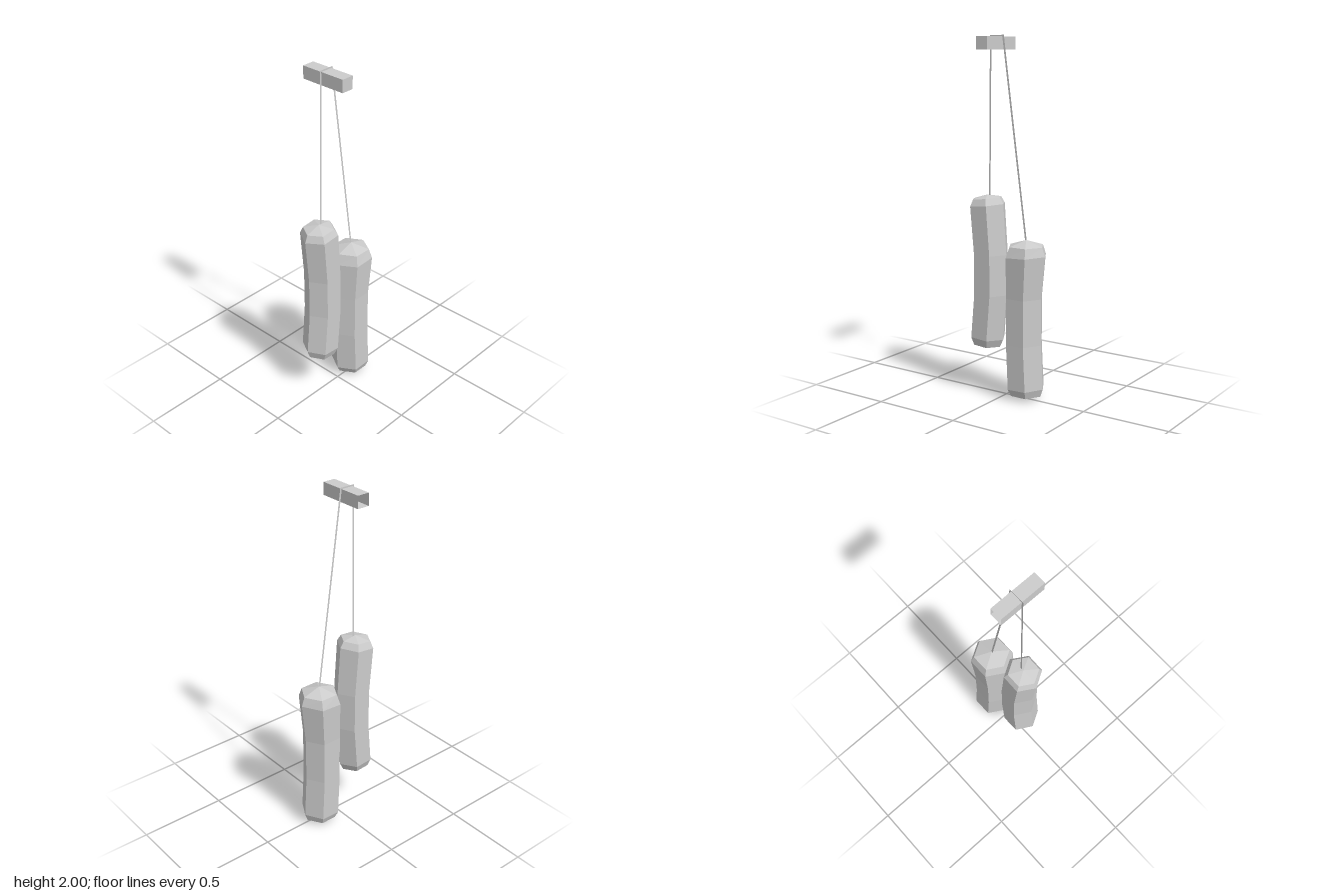
import * as THREE from 'three';

const grey = () => new THREE.MeshStandardMaterial({ color: 0xcccccc, flatShading: true, side: THREE.DoubleSide });

function part(name, geometry) {
  const mesh = new THREE.Mesh(geometry, grey());
  mesh.name = name;
  return mesh;
}

// Six-sided sausage: rings of [y, centre x, radius, tilt], listed bottom to top,
// closed by a shallow point at each end.
function sausage(rings, bottom, top, z) {
  const sides = 6, pos = [], index = [];
  for (const [y, cx, r, tilt] of rings) {
    for (let i = 0; i < sides; i++) {
      const a = (i / sides) * Math.PI * 2;
      pos.push(cx + r * Math.cos(a), y + tilt * Math.cos(a), z + r * Math.sin(a));
    }
  }
  const low = pos.length / 3, high = low + 1, last = (rings.length - 1) * sides;
  pos.push(bottom[0], bottom[1], z, top[0], top[1], z);
  for (let i = 0; i < sides; i++) {
    const j = (i + 1) % sides;
    for (let k = 0; k < last; k += sides) {
      index.push(k + i, k + sides + i, k + j, k + j, k + sides + i, k + sides + j);
    }
    index.push(low, i, j, high, last + j, last + i);
  }
  const g = new THREE.BufferGeometry();
  g.setAttribute('position', new THREE.Float32BufferAttribute(pos, 3));
  g.setIndex(index);
  const flat = g.toNonIndexed();
  flat.computeVertexNormals();
  return flat;
}

// Flat ribbon in the xy plane
function ribbon(points, z) {
  const g = new THREE.ShapeGeometry(new THREE.Shape(points.map(([x, y]) => new THREE.Vector2(x, y))));
  return g.translate(0, 0, z);
}

export function createModel() {
  const model = new THREE.Group();
  const z = -0.01;

  // Hanging bar: square tube, closed in front and open at the back
  const barGeometry = new THREE.BoxGeometry(0.072, 0.07, 0.268);
  const faces = Array.from(barGeometry.index.array).slice(0, 30);
  barGeometry.setIndex(faces);
  barGeometry.clearGroups();
  const bar = part('hangingBar', barGeometry);
  bar.position.set(-0.071, 1.957, -0.001);
  model.add(bar);

  // String looped over the bar
  model.add(part('string', ribbon([
    [-0.126, 1.11], [-0.116, 1.11], [-0.107, 1.991], [-0.036, 1.991],
    [0.116, 0.88], [0.127, 0.88], [-0.026, 2], [-0.117, 2],
  ], z)));

  // Upper sausage, bowed towards the other one
  model.add(part('upperSausage', sausage([
    [0.272, -0.138, 0.084, -0.006],
    [0.318, -0.136, 0.104, -0.008],
    [0.57, -0.114, 0.104, 0],
    [0.80, -0.114, 0.104, 0],
    [1.073, -0.136, 0.106, 0.011],
    [1.111, -0.139, 0.086, 0.008],
  ], [-0.138, 0.25], [-0.137, 1.13], z)));

  // Lower sausage, slightly fatter at the top
  model.add(part('lowerSausage', sausage([
    [0.026, 0.124, 0.094, 0],
    [0.066, 0.122, 0.112, 0.004],
    [0.32, 0.109, 0.111, 0],
    [0.58, 0.109, 0.111, 0],
    [0.812, 0.120, 0.123, 0.006],
    [0.868, 0.122, 0.103, 0],
  ], [0.124, 0.003], [0.122, 0.9], z)));

  return model;
}
